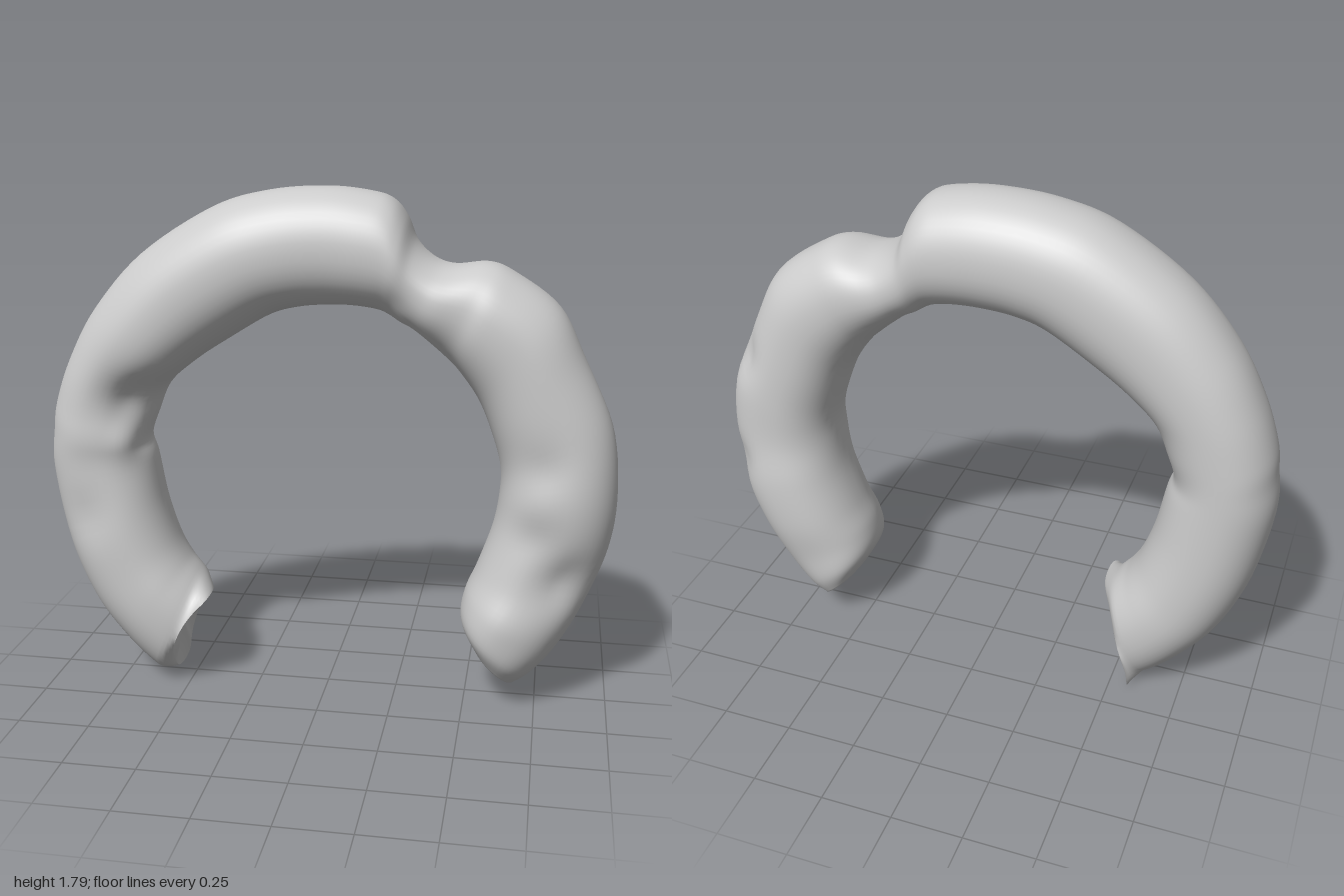
import * as THREE from 'three';

// Stations along the arc, left end to right end:
// [outer x, outer y, inner x, inner y, front z, back z]
const STATIONS = [
  [-0.57, 0.01, -0.42, 0.35, 0.16, -0.16],
  [-0.64, 0.05, -0.48, 0.42, 0.18, -0.18],
  [-0.75, 0.16, -0.52, 0.47, 0.19, -0.19],
  [-0.86, 0.31, -0.56, 0.55, 0.19, -0.19],
  [-0.95, 0.53, -0.60, 0.68, 0.19, -0.19],
  [-1.00, 0.80, -0.63, 0.84, 0.18, -0.19],
  [-0.99, 0.95, -0.65, 0.91, 0.19, -0.19],
  [-0.975, 1.05, -0.62, 1.0, 0.19, -0.19],
  [-0.92, 1.20, -0.57, 1.11, 0.20, -0.19],
  [-0.82, 1.38, -0.47, 1.20, 0.21, -0.19],
  [-0.65, 1.57, -0.35, 1.28, 0.21, -0.19],
  [-0.40, 1.73, -0.20, 1.37, 0.21, -0.19],
  [-0.20, 1.79, -0.10, 1.40, 0.20, -0.19],
  [0.00, 1.805, 0.00, 1.41, 0.19, -0.19],
  [0.15, 1.79, 0.09, 1.41, 0.19, -0.19],
  [0.22, 1.765, 0.17, 1.40, 0.19, -0.19],
  [0.265, 1.71, 0.21, 1.385, 0.19, -0.185],
  [0.30, 1.63, 0.25, 1.36, 0.185, -0.18],
  [0.36, 1.575, 0.29, 1.34, 0.185, -0.18],
  [0.43, 1.555, 0.33, 1.31, 0.185, -0.185],
  [0.54, 1.565, 0.40, 1.25, 0.18, -0.19],
  [0.63, 1.53, 0.45, 1.20, 0.19, -0.19],
  [0.78, 1.42, 0.52, 1.10, 0.19, -0.19],
  [0.87, 1.25, 0.57, 0.98, 0.19, -0.19],
  [0.97, 1.03, 0.60, 0.87, 0.19, -0.19],
].concat([
  [1.00, 0.80, 0.60, 0.77, 0.20, -0.19],
  [0.98, 0.60, 0.58, 0.65, 0.19, -0.21],
  [0.91, 0.40, 0.53, 0.50, 0.19, -0.21],
  [0.82, 0.23, 0.49, 0.40, 0.20, -0.19],
  [0.74, 0.13, 0.48, 0.31, 0.19, -0.18],
  [0.68, 0.08, 0.52, 0.225, 0.14, -0.15],
]);

// Local hollows and bumps: [x, y, z, radius, depth inwards]
const DENTS = [
  [-0.68, 1.08, 0.14, 0.10, 0.05], [-0.68, 0.92, 0.16, 0.06, -0.02],
  [0.93, 1.12, -0.14, 0.08, 0.035], [0.84, 0.50, 0.18, 0.10, 0.04],
  [0.95, 0.68, -0.15, 0.08, 0.02], [0.75, 0.90, 0.20, 0.08, 0.012],
  [0.72, 0.66, 0.20, 0.08, 0.015], [0.62, 0.35, 0.19, 0.08, -0.012],
  [-0.85, 0.65, 0.19, 0.09, 0.015], [0.27, 1.44, 0.16, 0.07, 0.015],
];

const SIDES = 48, STEPS = 180;

// Smooth interpolation of station values
function stationAt(t) {
  const f = t * (STATIONS.length - 1), i = Math.min(Math.floor(f), STATIONS.length - 2), u = f - i;
  const at = k => STATIONS[Math.max(0, Math.min(STATIONS.length - 1, k))];
  return at(i).map((b, c) => {
    const a = at(i - 1)[c], d = at(i + 1)[c], e = at(i + 2)[c];
    return b + 0.5 * u * (d - a + u * (2 * a - 5 * b + 4 * d - e + u * (3 * (b - d) + e - a)));
  });
}

function sectionRing(t) {
  const [ox, oy, ix, iy, zf, zb] = stationAt(t);
  const mid = new THREE.Vector3((ox + ix) / 2, (oy + iy) / 2, 0);
  const broken = Math.max(0, 1 - t * 40); // only the snapped left end
  const ring = [];
  for (let j = 0; j < SIDES; j++) {
    const a = j / SIDES * Math.PI * 2, c = Math.cos(a), s = Math.sin(a);
    const se = Math.sign(s) * Math.pow(Math.abs(s), 0.92);
    const ce = Math.sign(c) * Math.pow(Math.abs(c), 0.92);
    const p = new THREE.Vector3(
      mid.x + ce * (ox - ix) / 2 - 0.035 * s * s * broken,
      mid.y + ce * (oy - iy) / 2 + 0.02 * s * s * broken,
      (s > 0 ? zf : -zb) * se - 0.08 * c * broken + 0.012 * Math.sin(a * 5) * broken);
    const inward = mid.clone().sub(p).normalize();
    let push = 0;
    for (const [x, y, z, r, d] of DENTS) {
      const q = (p.x - x) ** 2 + (p.y - y) ** 2 + (p.z - z) ** 2;
      push += d * Math.exp(-q / (r * r));
    }
    ring.push(p.addScaledVector(inward, push));
  }
  return ring;
}

// Skin a list of equal rings, optionally closing onto a last point
function skin(rings, tip) {
  const pos = rings.flat().flatMap(p => p.toArray()), idx = [];
  const n = rings.length;
  for (let i = 0; i < n - 1; i++) for (let j = 0; j < SIDES; j++) {
    const k = (j + 1) % SIDES, a = i * SIDES, b = a + SIDES;
    idx.push(a + j, a + k, b + k, a + j, b + k, b + j);
  }
  if (tip) {
    pos.push(...tip.toArray());
    for (let j = 0; j < SIDES; j++)
      idx.push((n - 1) * SIDES + j, (n - 1) * SIDES + (j + 1) % SIDES, n * SIDES);
  }
  const g = new THREE.BufferGeometry();
  g.setAttribute('position', new THREE.Float32BufferAttribute(pos, 3));
  g.setIndex(idx);
  g.computeVertexNormals();
  return g;
}

// Shrink a ring towards a point
const shrink = (ring, tip, s) => ring.map(p => p.clone().lerp(tip, s));

export function createModel() {
  const group = new THREE.Group();
  group.name = 'brokenRing';
  const material = new THREE.MeshStandardMaterial({ color: 0xcccccc });
  const add = (name, geometry) => {
    const m = new THREE.Mesh(geometry, material);
    m.name = name;
    group.add(m);
  };

  // Curved body with the blunt right end closed smoothly
  const rings = [];
  for (let i = 0; i <= STEPS; i++) rings.push(sectionRing(i / STEPS));
  const last = rings[STEPS];
  const bluntTip = new THREE.Vector3(0.585, 0.135, 0);
  const blunt = [0.2, 0.45, 0.7].map(s => shrink(last, bluntTip, s));
  add('curvedBody', skin([...rings, ...blunt], bluntTip));

  // Hollow snapped face on the left end, with a sharp rim
  const rim = rings[0].slice().reverse();
  const pit = new THREE.Vector3(-0.55, 0.22, 0.01);
  const face = [0.3, 0.6, 0.85].map(s => shrink(rim, pit, s).map((p, j) => {
    const w = 0.012 * Math.sin(j / SIDES * Math.PI * 8) * (1 - s);
    return p.add(new THREE.Vector3(w, -w * 0.5, 0));
  }));
  add('snappedFace', skin([rim, ...face], pit));

  return group;
}
